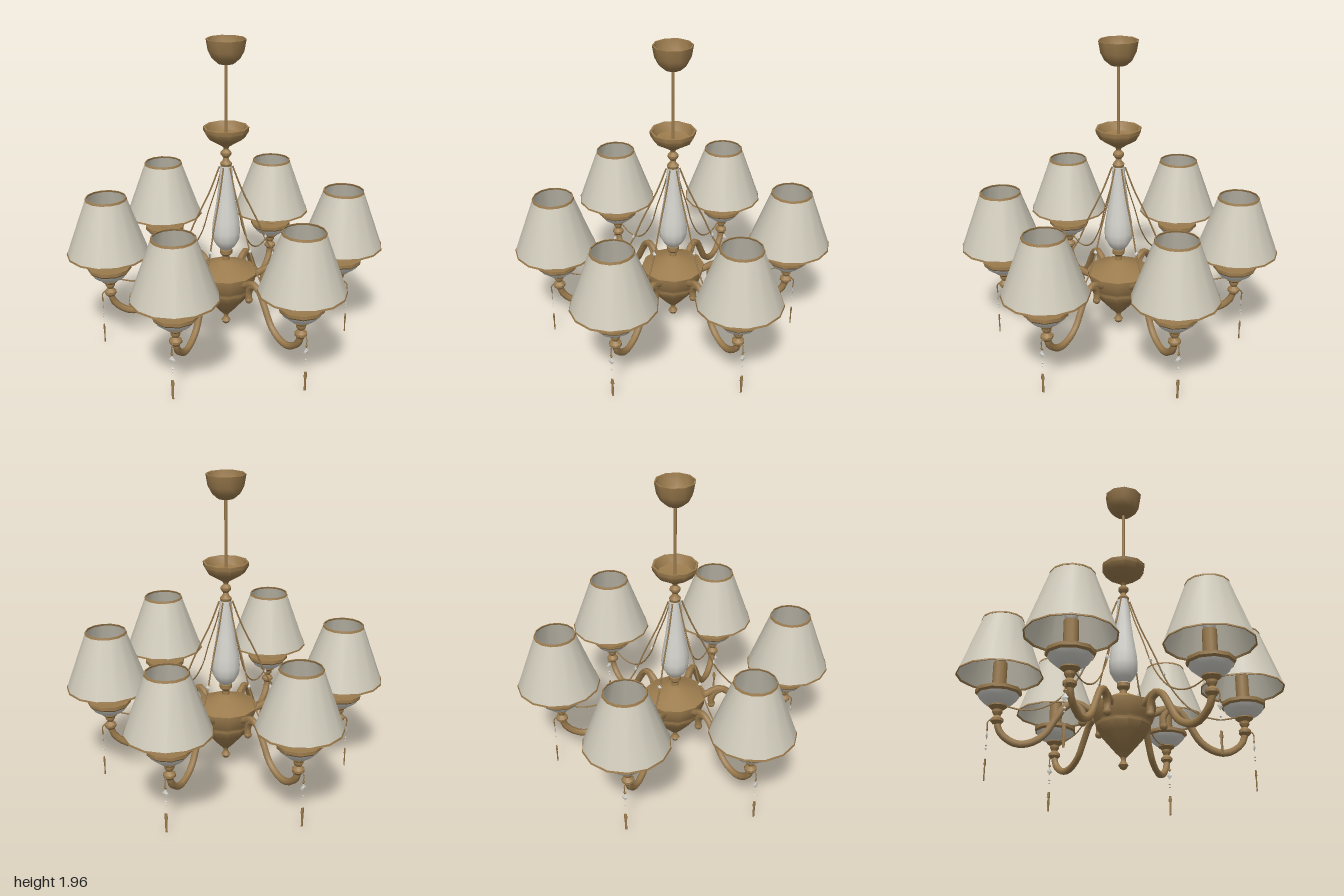
import * as THREE from 'three';
import { toCreasedNormals } from 'three/addons/utils/BufferGeometryUtils.js';

const brass = new THREE.MeshStandardMaterial({ color: 0x9b7b4d });
brass.name = 'antique brass';
const fabric = new THREE.MeshStandardMaterial({ color: 0xcfcaba, side: THREE.DoubleSide });
fabric.name = 'cream fabric';
const porcelain = new THREE.MeshStandardMaterial({ color: 0xd4d3cc });
porcelain.name = 'white porcelain';

function add(parent, name, geometry, material, x = 0, y = 0, z = 0) {
  const mesh = new THREE.Mesh(geometry, material);
  mesh.name = name;
  mesh.position.set(x, y, z);
  parent.add(mesh);
  return mesh;
}

// Turned part: [radius, height] pairs listed from the bottom up
function turned(profile, sides = 10) {
  const points = profile.map(([r, y]) => new THREE.Vector2(r, y));
  return toCreasedNormals(new THREE.LatheGeometry(points, sides), 0.7);
}

// Tube in the radial plane: [distance out, height] pairs
function bentTube(path, radius, segments, sides) {
  const curve = new THREE.CatmullRomCurve3(path.map(([r, y]) => new THREE.Vector3(0, y, r)));
  return new THREE.TubeGeometry(curve, segments, radius, sides);
}

function createColumn() {
  const column = new THREE.Group();
  column.name = 'column';
  add(column, 'ceilingCanopy', turned([[0, 1.81], [0.05, 1.815], [0.085, 1.845], [0.108, 1.89], [0.12, 1.96],
    [0.112, 1.96], [0.1, 1.89], [0.075, 1.85], [0, 1.83]]), brass);
  add(column, 'rod', new THREE.CylinderGeometry(0.01, 0.01, 0.5, 8), brass, 0, 1.6, 0);
  add(column, 'upperDish', turned([[0.032, 1.18], [0.037, 1.2], [0.02, 1.22], [0.016, 1.235], [0.033, 1.255],
    [0.033, 1.27], [0.014, 1.29], [0.02, 1.305], [0.05, 1.325], [0.115, 1.365], [0.138, 1.405], [0.14, 1.43],
    [0.128, 1.43], [0.105, 1.38], [0, 1.35]]), brass);
  add(column, 'vase', turned([[0.035, 0.63], [0.06, 0.655], [0.085, 0.7], [0.089, 0.75], [0.083, 0.82],
    [0.062, 0.94], [0.046, 1.06], [0.036, 1.185]], 12), porcelain);
  add(column, 'vaseFoot', turned([[0.025, 0.54], [0.022, 0.58], [0.04, 0.6], [0.04, 0.625], [0, 0.64]]), brass);
  add(column, 'hub', turned([[0, 0.09], [0.018, 0.1], [0.03, 0.12], [0.014, 0.145], [0.016, 0.165], [0.05, 0.2],
    [0.135, 0.3], [0.165, 0.35], [0.165, 0.37], [0.175, 0.385], [0.198, 0.45], [0.2, 0.48], [0.16, 0.495],
    [0.05, 0.55], [0, 0.56]], 12), brass);
  return column;
}

// Shared geometries for the six lamps
const armTube = bentTube([[0.15, 0.43], [0.21, 0.455], [0.28, 0.488], [0.34, 0.465], [0.4, 0.38], [0.46, 0.285],
  [0.53, 0.235], [0.61, 0.22], [0.68, 0.25], [0.725, 0.3], [0.738, 0.36]], 0.022, 22, 6);
const scrollTube = bentTube([[0.31, 0.485], [0.265, 0.465], [0.24, 0.42], [0.242, 0.37]], 0.023, 8, 6);
const chainTube = bentTube([[0.04, 1.18], [0.1, 1.02], [0.19, 0.83], [0.27, 0.65], [0.39, 0.5], [0.5, 0.44],
  [0.6, 0.428], [0.7, 0.45]], 0.005, 24, 4);
const stem = turned([[0.02, 0.33], [0.038, 0.35], [0.038, 0.365], [0.018, 0.385], [0.03, 0.405], [0.03, 0.42],
  [0.055, 0.44], [0.055, 0.45]]);
const dish = turned([[0.05, 0.445], [0.08, 0.46], [0.11, 0.485], [0.128, 0.515]]);
const rim = turned([[0.126, 0.508], [0.137, 0.52], [0.137, 0.54], [0.12, 0.54], [0, 0.53]]);
const shadeCone = new THREE.CylinderGeometry(0.124, 0.258, 0.37, 14, 1, true);
const shadeBand = (r1, r0, y0, y1) => turned([[r0 - 0.004, y0], [r0 + 0.002, y0], [r1 + 0.002, y1],
  [r1 - 0.004, y1], [r0 - 0.004, y0]], 14);
const topBand = shadeBand(0.124, 0.128, 0.99, 1.002);
const bottomBand = shadeBand(0.255, 0.258, 0.63, 0.64);
const bulbShape = turned([[0.02, 0.71], [0.036, 0.735], [0.043, 0.765], [0.034, 0.8], [0.014, 0.83], [0, 0.84]]);
const hook = bentTube([[0.74, 0.35], [0.77, 0.362], [0.79, 0.345], [0.79, 0.3]], 0.004, 8, 4);
const crystal = new THREE.OctahedronGeometry(1).toNonIndexed();

function createPendant() {
  const pendant = new THREE.Group();
  pendant.name = 'pendant';
  pendant.position.z = 0.79;
  // Flat cut beads: height, half width, half height
  [[0.3, 0.012, 0.015, brass], [0.262, 0.022, 0.026, porcelain], [0.205, 0.01, 0.009, porcelain],
    [0.185, 0.008, 0.007, porcelain]].forEach(([y, w, h, material]) => {
    add(pendant, 'bead', crystal, material, 0, y, 0).scale.set(w, h, 0.006);
  });
  add(pendant, 'dropCap', new THREE.CylinderGeometry(0.009, 0.013, 0.035, 6), brass, 0, 0.108, 0).scale.z = 0.5;
  add(pendant, 'drop', new THREE.CylinderGeometry(0.008, 0.008, 0.1, 6), brass, 0, 0.05, 0).scale.z = 0.5;
  return pendant;
}

// One arm pointing along +z with its lamp, chain and pendant
function createLampArm() {
  const arm = new THREE.Group();
  arm.name = 'lampArm';
  add(arm, 'armTube', armTube, brass);
  add(arm, 'scroll', scrollTube, brass);
  add(arm, 'scrollEnd', new THREE.SphereGeometry(0.025, 8, 6), brass, 0, 0.368, 0.242);
  add(arm, 'chain', chainTube, brass);
  add(arm, 'chainBead', crystal, porcelain, 0, 0.7, 0.25).scale.set(0.014, 0.02, 0.01);
  add(arm, 'hook', hook, brass);
  arm.add(createPendant());

  const lamp = new THREE.Group();
  lamp.name = 'lamp';
  lamp.position.z = 0.738;
  add(lamp, 'stem', stem, brass);
  add(lamp, 'dish', dish, porcelain);
  add(lamp, 'dishRim', rim, brass);
  add(lamp, 'candle', new THREE.CylinderGeometry(0.042, 0.042, 0.19, 10), brass, 0, 0.622, 0);
  add(lamp, 'bulb', bulbShape, porcelain);
  add(lamp, 'shade', shadeCone, fabric, 0, 0.815, 0);
  add(lamp, 'shadeTopBand', topBand, brass);
  add(lamp, 'shadeBottomBand', bottomBand, brass);
  arm.add(lamp);
  return arm;
}

export function createModel() {
  const model = new THREE.Group();
  model.name = 'chandelier';
  const body = new THREE.Group();
  body.name = 'body';
  body.position.z = -0.008;
  body.add(createColumn());
  // Six arms, slightly unevenly spaced
  for (const degrees of [0, 59, 117.6, 177.8, 238.4, 298.3]) {
    const arm = createLampArm();
    arm.rotation.y = THREE.MathUtils.degToRad(degrees);
    body.add(arm);
  }
  model.add(body);
  return model;
}
